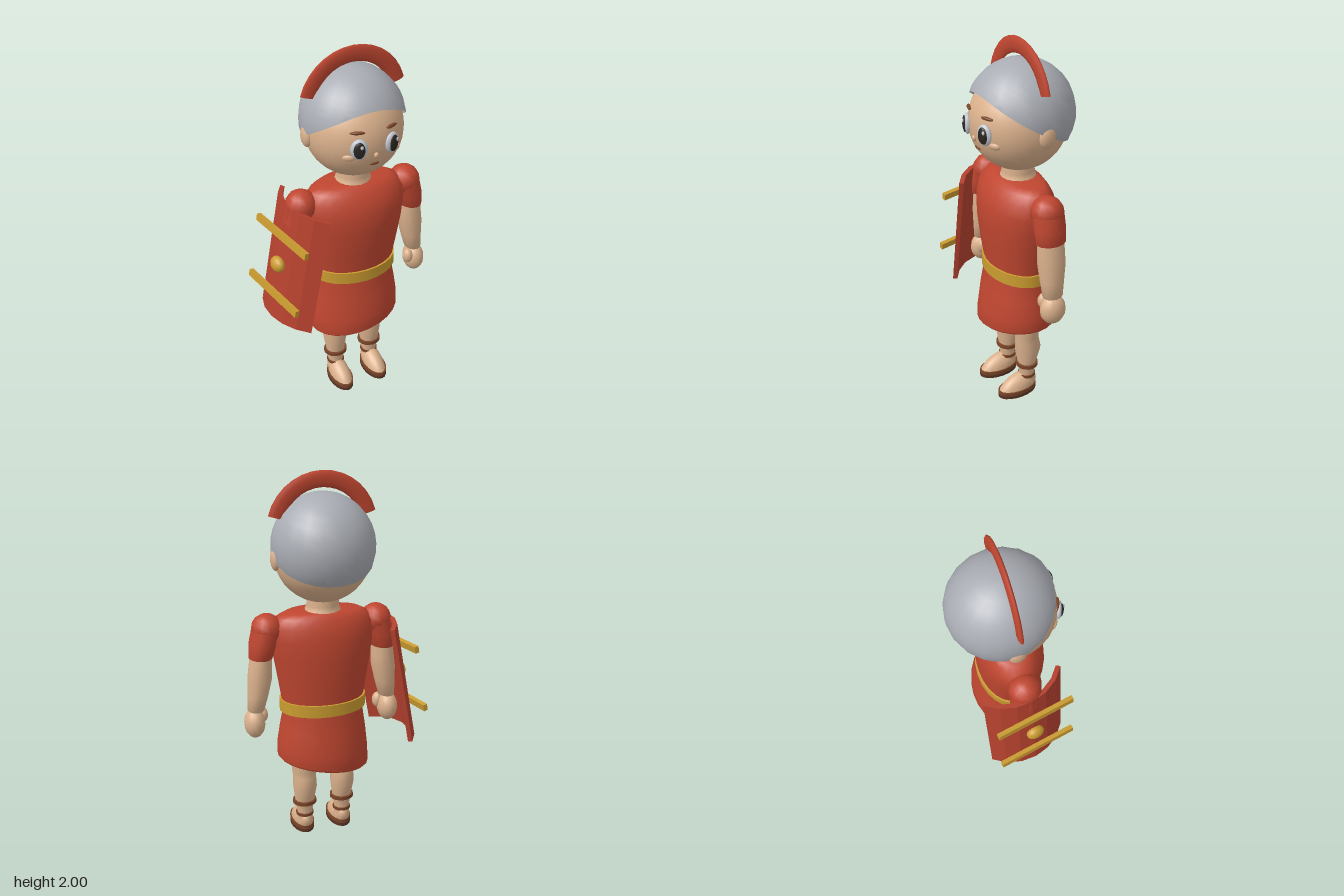
import * as THREE from 'three';

const mat = (name, color, side = THREE.FrontSide) => {
  const m = new THREE.MeshStandardMaterial({ color, side });
  m.name = name;
  return m;
};

// Stack of elliptical rings [y, cx, cz, rx, rz], listed from bottom to top
function loft(rings, seg = 16) {
  const pos = [], idx = [];
  for (const [y, cx, cz, rx, rz] of rings)
    for (let j = 0; j < seg; j++) {
      const a = (j / seg) * Math.PI * 2;
      pos.push(cx + rx * Math.cos(a), y, cz + rz * Math.sin(a));
    }
  for (let i = 0; i < rings.length - 1; i++)
    for (let j = 0; j < seg; j++) {
      const a = i * seg + j, b = i * seg + ((j + 1) % seg);
      idx.push(a, a + seg, b, b, a + seg, b + seg);
    }
  const g = new THREE.BufferGeometry();
  g.setAttribute('position', new THREE.Float32BufferAttribute(pos, 3));
  g.setIndex(idx);
  g.computeVertexNormals();
  return g;
}

const ball = (rx, ry, rz, w = 14, h = 10) => new THREE.SphereGeometry(1, w, h).scale(rx, ry, rz);

export function createModel() {
  const red = mat('red cloth', 0xbf4630, THREE.DoubleSide);
  const shieldRed = mat('shield red', 0xb5412e);
  shieldRed.flatShading = true;
  const skin = mat('skin', 0xdbb18c);
  const steel = mat('steel', 0xa9acb3, THREE.DoubleSide);
  const gold = mat('gold', 0xcb9c30);
  const brown = mat('brown leather', 0x7a4529);
  const sole = mat('dark sole', 0x5a3422);
  const white = mat('eye white', 0xc3c7d0);
  const black = mat('eye black', 0x2b2722);

  const model = new THREE.Group();
  model.name = 'soldier';
  const body = new THREE.Group();
  body.name = 'body';
  body.position.x = 0.045;
  model.add(body);
  const add = (name, geo, m, x = 0, y = 0, z = 0, parent = body) => {
    const mesh = new THREE.Mesh(geo, m);
    mesh.name = name;
    mesh.position.set(x, y, z);
    parent.add(mesh);
    return mesh;
  };

  // Tunic with a slanted hem
  const tunic = loft([
    [0.425, 0, 0.015, 0.24, 0.19], [0.44, 0, 0.015, 0.252, 0.204], [0.52, 0, 0.015, 0.25, 0.2],
    [0.63, 0, 0.015, 0.236, 0.182], [0.745, 0, 0.014, 0.217, 0.158], [0.81, 0, 0.014, 0.226, 0.158],
    [0.92, 0, 0.018, 0.243, 0.17], [1.06, 0, 0.022, 0.266, 0.178], [1.15, 0, 0.022, 0.278, 0.172],
    [1.22, 0, 0.018, 0.276, 0.155], [1.265, 0, 0.012, 0.245, 0.125], [1.288, 0, 0.008, 0.2, 0.105],
    [1.292, 0, 0.005, 0.09, 0.088],
  ], 24);
  const tp = tunic.attributes.position;
  for (let i = 0; i < tp.count; i++) {
    const w = THREE.MathUtils.clamp((0.72 - tp.getY(i)) / 0.24, 0, 1);
    tp.setY(i, tp.getY(i) + tp.getX(i) * 0.16 * w);
  }
  tunic.computeVertexNormals();
  add('tunic', tunic, red);
  add('belt', new THREE.CylinderGeometry(1, 1, 0.066, 24).scale(0.236, 1, 0.168), gold, 0, 0.777, 0.014);
  add('neck', loft([[1.27, 0, 0.005, 0.105, 0.1], [1.3, 0, 0.005, 0.09, 0.09], [1.32, 0, 0.005, 0.084, 0.084],
    [1.4, 0, 0.005, 0.084, 0.084]]), skin);

  // Head and face
  const R = 0.25, CY = 1.586, CZ = 0.005;
  add('head', ball(R, R, R, 28, 20), skin, 0, CY, CZ);
  const face = (name, geo, m, x, y, out = 0) => {
    const dir = new THREE.Vector3(x, y - CY, Math.sqrt(R * R - x * x - (y - CY) ** 2)).normalize();
    const mesh = add(name, geo, m);
    mesh.position.copy(dir).multiplyScalar(R + out).add(new THREE.Vector3(0, CY, CZ));
    mesh.quaternion.setFromEuler(new THREE.Euler(-Math.asin(dir.y), Math.atan2(dir.x, dir.z), 0, 'YXZ'));
  };
  face('nose', ball(0.012, 0.016, 0.012), skin, 0, 1.537);
  face('mouth', ball(0.026, 0.007, 0.007), brown, 0, 1.484);
  for (const s of [-1, 1]) {
    face('eyeball', ball(0.043, 0.054, 0.02), white, s * 0.087, 1.582, 0.002);
    face('pupil', ball(0.029, 0.043, 0.012), black, s * 0.087, 1.582, 0.015);
    face('eyeGlint', ball(0.008, 0.01, 0.004), white, s * 0.087 + 0.01, 1.6, 0.026);
    face('eyebrow', ball(0.037, 0.009, 0.011), brown, s * 0.09, 1.662, 0.003);
    face('cheek', ball(0.03, 0.018, 0.012), skin, s * 0.13, 1.53, -0.001);
    add('ear', ball(0.026, 0.058, 0.044), skin, s * 0.248, 1.575, -0.01);
  }

  // Helmet: dome whose rim is high at the brow and low at the nape
  const dome = new THREE.SphereGeometry(1, 20, 10);
  const { position: dp, normal: dn, uv } = dome.attributes;
  for (let i = 0; i < dp.count; i++) {
    const a = uv.getX(i) * Math.PI * 2, c = Math.sin(a);
    const rim = 96.25 - 31.5 * c - 3.75 * (2 * c * c - 1);
    const t = THREE.MathUtils.degToRad((1 - uv.getY(i)) * rim);
    const x = -Math.cos(a) * Math.sin(t), y = Math.cos(t), z = c * Math.sin(t);
    dn.setXYZ(i, x, y, z);
    dp.setXYZ(i, x * 0.265, y * 0.272, z * 0.275);
  }
  // The lowest row of a sphere lacks half its triangles, so fill the rim row in
  const di = Array.from(dome.index.array);
  for (let j = 0; j < 20; j++) {
    const a = 9 * 21 + j, b = a + 21;
    di.push(a + 1, b, b + 1, a + 1, a, b);
  }
  dome.setIndex(di);
  // Rim vertices keep their own angle, unshifted at the sphere's lower pole
  add('helmet', dome, steel, 0, 1.625, -0.01);

  // Crest
  const arc = THREE.MathUtils.degToRad(148), start = (Math.PI - arc) / 2;
  const crest = new THREE.Group();
  crest.name = 'crest';
  crest.position.set(0, 1.71, 0);
  crest.scale.z = 0.33;
  body.add(crest);
  add('crestArch', new THREE.TorusGeometry(0.248, 0.042, 10, 14, arc).rotateZ(start), red, 0, 0, 0, crest);
  for (const a of [start, Math.PI - start])
    add('crestEnd', new THREE.CircleGeometry(0.042, 10).rotateX(Math.PI / 2).rotateZ(a), red,
      0.248 * Math.cos(a), 0.248 * Math.sin(a), 0, crest);

  // Arms and legs
  for (const s of [-1, 1]) {
    add('shoulder', ball(0.083, 0.08, 0.085, 12, 8), red, s * 0.297, 1.21, 0.015);
    add('sleeve', loft([[1.06, s * 0.335, 0.015, 0.05, 0.06], [1.06, s * 0.335, 0.015, 0.062, 0.081],
      [1.13, s * 0.322, 0.015, 0.073, 0.084], [1.21, s * 0.3, 0.015, 0.078, 0.083]], 12), red);
    add('arm', loft([[0.755, s * 0.367, 0.018, 0, 0], [0.765, s * 0.367, 0.018, 0.044, 0.054],
      [0.85, s * 0.354, 0.016, 0.055, 0.064], [0.94, s * 0.343, 0.014, 0.065, 0.073],
      [1.0, s * 0.338, 0.014, 0.062, 0.072], [1.1, s * 0.33, 0.015, 0.055, 0.07]], 12), skin);
    add('hand', ball(0.056, 0.082, 0.07), skin, s * 0.375, 0.69, 0.02);
    add('thumb', ball(0.028, 0.043, 0.032), skin, s * 0.325, 0.72, 0.045);

    const x = s * 0.108;
    add('leg', loft([[0.06, x, 0.008, 0.046, 0.045], [0.11, x, 0.012, 0.042, 0.042], [0.19, x, 0.012, 0.054, 0.05],
      [0.28, x, 0.004, 0.066, 0.072], [0.34, x, 0.01, 0.064, 0.066], [0.37, x, 0.012, 0.068, 0.066],
      [0.44, x, 0.013, 0.073, 0.07], [0.62, x, 0.013, 0.08, 0.08]]), skin);
    add('legStrap', new THREE.CylinderGeometry(0.066, 0.066, 0.02, 16).scale(1, 1, 0.92), brown, x, 0.18, 0.012);
    add('ankleStrap', new THREE.CylinderGeometry(0.049, 0.049, 0.016, 16), brown, x, 0.105, 0.012);
    // Foot leans back from toe to ankle
    const foot = new THREE.SphereGeometry(1, 16, 8, 0, Math.PI * 2, 0, Math.PI / 2).scale(0.056, 0.085, 0.11);
    const fp = foot.attributes.position;
    for (let i = 0; i < fp.count; i++) fp.setZ(i, fp.getZ(i) - fp.getY(i) * 0.55);
    foot.computeVertexNormals();
    add('foot', foot, skin, x, 0.035, 0.073);
    for (const [name, y, m] of [['outerSole', 0.009, sole], ['innerSole', 0.03, brown]])
      add(name, new THREE.CylinderGeometry(1, 1, 0.018, 20).scale(0.063, 1, 0.115), m, x, y, 0.073);
    add('soleCore', new THREE.CylinderGeometry(1, 1, 0.03, 20).scale(0.059, 1, 0.111), sole, x, 0.017, 0.073);
  }

  // Curved shield on the right arm
  const shield = new THREE.Group();
  shield.name = 'shield';
  shield.position.set(-0.39, 0.895, 0.03);
  shield.rotation.set(0, 0.2, -0.182, 'ZYX');
  model.add(shield);
  const r = 0.285, half = 0.89, pts = [];
  const arcPoint = (rad, k) => {
    const a = -half + (2 * half * k) / 6;
    pts.push(new THREE.Vector2(r - rad * Math.cos(a), rad * Math.sin(a)));
  };
  for (let k = 0; k <= 6; k++) arcPoint(r, k);
  for (let k = 6; k >= 0; k--) arcPoint(r - 0.024, k);
  const plate = new THREE.ExtrudeGeometry(new THREE.Shape(pts), { depth: 0.66, bevelEnabled: false });
  add('shieldPlate', plate.translate(0, 0, -0.33).rotateX(-Math.PI / 2), shieldRed, 0, 0, 0, shield);
  for (const y of [-0.172, 0.172])
    add('shieldBar', new THREE.BoxGeometry(0.024, 0.036, 0.435), gold, -0.014, y, 0.005, shield);
  add('shieldBoss', ball(0.032, 0.043, 0.05), gold, -0.01, 0, 0, shield);

  return model;
}
